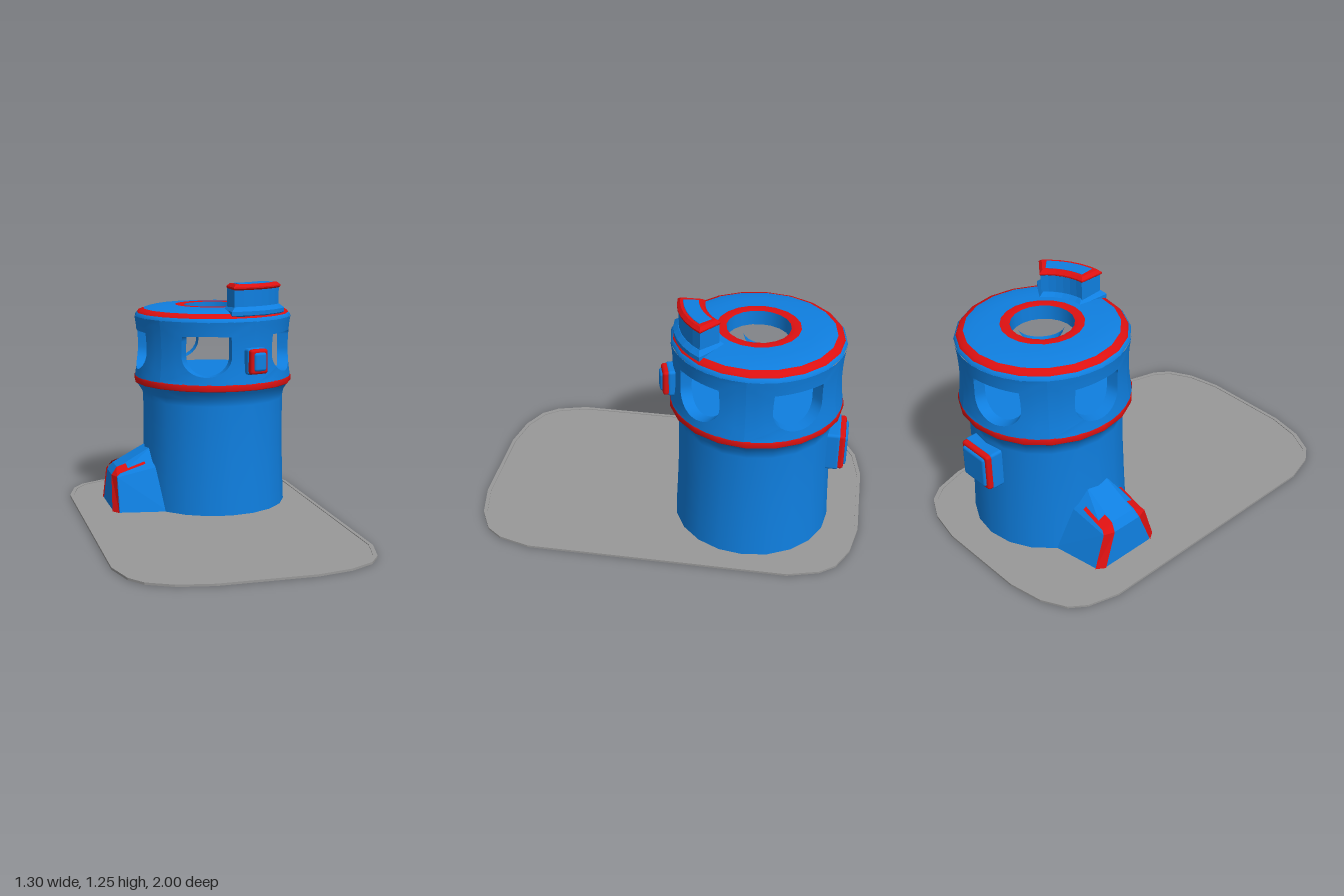
import * as THREE from 'three';
import { RoundedBoxGeometry } from 'three/addons/geometries/RoundedBoxGeometry.js';
import { ConvexGeometry } from 'three/addons/geometries/ConvexGeometry.js';

const D = Math.PI / 180;
const material = (color, extra = {}) => new THREE.MeshStandardMaterial({ color, ...extra });
const blue = material(0x0f7fe0), red = material(0xdd1111), grey = material(0x999999);
const blueFlat = material(0x0f7fe0, { flatShading: true });
const redThin = material(0xdd1111, { side: THREE.DoubleSide, flatShading: true });

function add(parent, name, geometry, mat) {
  const mesh = new THREE.Mesh(geometry, mat);
  mesh.name = name;
  parent.add(mesh);
  return mesh;
}

// Profile of [radius, height] pairs turned around the tower axis
const lathe = (pts) => new THREE.LatheGeometry(pts.map(([r, y]) => new THREE.Vector2(r, y)), 20);

// Surface through rows of points that all have the same length
function grid(rows) {
  const n = rows[0].length, index = [];
  for (let j = 0; j < rows.length - 1; j++) {
    for (let i = 0; i < n - 1; i++) {
      const a = j * n + i, d = a + n;
      index.push(a, a + 1, d + 1, a, d + 1, d);
    }
  }
  const g = new THREE.BufferGeometry();
  g.setAttribute('position', new THREE.Float32BufferAttribute(rows.flat(2), 3));
  g.setIndex(index);
  g.computeVertexNormals();
  return g;
}

// Point on the tower at azimuth (0 = front, + to the left side of the model)
const polar = (az, y, r) => [r * Math.sin(az * D), y, r * Math.cos(az * D)];
const wallRadius = (y) => 0.418 + 0.014 * Math.min(1, Math.pow((y - 0.885) / 0.165, 2));

// One fifth of the gallery wall: a panel with a U-shaped window, and its jambs
function windowPanel(parent, az) {
  const n = 8, square = [];
  for (const [x, y, dx, dy] of [[-1, -1, 1, 0], [1, -1, 0, 1], [1, 1, -1, 0], [-1, 1, 0, -1]]) {
    for (let i = 0; i < n; i++) square.push([x + dx * 2 * i / n, y + dy * 2 * i / n]);
  }
  square.push(square[0]);
  const border = square.map(([s, t]) => [az + 36 * s, 0.885 + 0.165 * t]);
  const hole = square.map(([s, t]) => {
    const k = t < 0 ? 1 : 0.12;
    const u = s * Math.sqrt(1 - k * t * t / 2), v = t * Math.sqrt(1 - k * s * s / 2);
    return [az + 18.5 * u, 0.868 + 0.107 * v];
  });
  const rows = [0, 0.35, 0.7, 1].map((f) => border.map(([a, y], i) => {
    const yy = y + (hole[i][1] - y) * f;
    return polar(a + (hole[i][0] - a) * f, yy, wallRadius(yy));
  }));
  add(parent, 'galleryWall', grid(rows), blue);
  const jamb = [0, 0.06].map((depth) => hole.map(([a, y]) => polar(a, y, wallRadius(y) - depth)));
  add(parent, 'windowJamb', grid(jamb), blue);
}

// Box with a red frame and a blue face, set on the wall
function wallBox(parent, name, az, y, w, h, rFrom, rTo) {
  const g = new THREE.Group();
  g.name = name;
  g.rotation.y = az * D;
  const layer = (part, mat, ww, hh, from, to) => {
    add(g, part, new RoundedBoxGeometry(ww, hh, to - from, 2, 0.015), mat).position.set(0, y, (from + to) / 2);
  };
  layer('boxBase', blue, w, h, rFrom - 0.06, rTo - 0.035);
  layer('boxFrame', red, w - 0.008, h - 0.008, rFrom - 0.04, rTo - 0.012);
  layer('boxFace', blue, w - 0.04, h - 0.04, rFrom - 0.04, rTo);
  parent.add(g);
}

// Upright slab over a ring sector, with chamfered edges
function sector(r0, r1, a0, a1, y0, y1, bevel) {
  const pts = [], n = 6;
  for (let i = 0; i <= n; i++) pts.push([r1, a0 + (a1 - a0) * i / n]);
  for (let i = n; i >= 0; i--) pts.push([r0, a0 + (a1 - a0) * i / n]);
  const shape = new THREE.Shape(pts.map(([r, a]) => new THREE.Vector2(r * Math.sin(a * D), -r * Math.cos(a * D))));
  const g = new THREE.ExtrudeGeometry(shape, {
    depth: y1 - y0 - 2 * bevel, bevelEnabled: true, bevelSize: bevel, bevelThickness: bevel,
    bevelOffset: -bevel, bevelSegments: 1,
  });
  return g.rotateX(-Math.PI / 2).translate(0, y0 + bevel, 0);
}

// Buttress with sloping top and red chamfered edges, in tower coordinates
function buttress(parent) {
  const outer = [[-0.57, 0, 0.195], [-0.57, 0.19, 0.135], [-0.55, 0.205, 0.125], [-0.41, 0.25, 0.125]];
  const inner = [[-0.6, 0, 0.15], [-0.59, 0.19, 0.08], [-0.56, 0.23, 0.07], [-0.41, 0.28, 0.07]];
  const g = new THREE.Group();
  g.name = 'buttress';
  const pts = [];
  for (const side of [1, -1]) {
    for (const [x, y, z] of [...outer, ...inner, [-0.3, 0, 0.24], [-0.3, 0.25, 0.15], [-0.36, 0.34, 0.06]]) {
      pts.push(new THREE.Vector3(x, y, z * side));
    }
    const lift = (p) => p.map(([x, y, z]) => [x - 0.005, y + 0.005, (z + 0.004) * side]);
    add(g, 'buttressEdge', grid([lift(outer), lift(inner)]), redThin);
  }
  add(g, 'buttressBody', new ConvexGeometry(pts), blueFlat);
  parent.add(g);
}

// Thin base plate with faceted round corners and a slight rim
function basePlate(parent) {
  const corner = [[0.65, 0.66], [0.605, 0.82], [0.545, 0.9], [0.42, 0.965], [0.24, 1]];
  const back = [...corner].reverse();
  const outline = [
    ...corner, ...back.map(([x, z]) => [-x, z]),
    ...corner.map(([x, z]) => [-x, -z]), ...back.map(([x, z]) => [x, -z]),
  ];
  const vectors = (k) => outline.map(([x, z]) => new THREE.Vector2(x * (1 - k / 0.65), z * (1 - k)));
  const slab = (shape, depth) => new THREE.ExtrudeGeometry(shape, { depth, bevelEnabled: false }).rotateX(-Math.PI / 2);
  add(parent, 'basePlate', slab(new THREE.Shape(vectors(0)), 0.007), grey);
  const rim = new THREE.Shape(vectors(0));
  rim.holes.push(new THREE.Path(vectors(0.018)));
  add(parent, 'baseRim', slab(rim, 0.011), grey);
}

export function createModel() {
  const model = new THREE.Group();
  model.name = 'towerOnPlate';
  basePlate(model);

  const tower = new THREE.Group();
  tower.name = 'tower';
  tower.position.set(0.13, 0, -0.43);
  model.add(tower);

  // Shaft, gallery band and floor
  add(tower, 'shaft', lathe([[0.402, 0.002], [0.396, 0.15], [0.39, 0.35], [0.39, 0.6], [0.396, 0.635], [0.418, 0.67], [0.432, 0.69]]), blue);
  add(tower, 'galleryBand', lathe([[0.432, 0.685], [0.437, 0.69], [0.437, 0.716], [0.432, 0.722]]), red);
  add(tower, 'galleryFloor', lathe([[0.4, 0.74], [0.2, 0.74], [0, 0.74]]), blue);
  for (let i = 0; i < 5; i++) windowPanel(tower, -19.5 + 72 * i);

  // Roof with its two red rings, central opening and ceiling
  add(tower, 'roofShoulder', lathe([[0.432, 1.048], [0.428, 1.06], [0.42, 1.068]]), blue);
  add(tower, 'roofRing', lathe([[0.42, 1.066], [0.41, 1.08], [0.383, 1.09]]), red);
  add(tower, 'roof', lathe([[0.384, 1.089], [0.34, 1.1], [0.27, 1.105], [0.205, 1.108]]), blue);
  add(tower, 'openingRing', lathe([[0.207, 1.108], [0.18, 1.11], [0.158, 1.105]]), red);
  add(tower, 'openingWall', lathe([[0.158, 1.106], [0.158, 1.03]]), blue);
  add(tower, 'ceiling', lathe([[0.158, 1.03], [0.27, 1.02], [0.41, 0.985]]), blue);

  // Raised hatch on the roof
  add(tower, 'hatchFoot', sector(0.24, 0.415, -1, 54, 1.06, 1.125, 0.022), blueFlat);
  add(tower, 'hatchBody', sector(0.265, 0.39, 2, 51, 1.08, 1.228, 0.004), blue);
  add(tower, 'hatchFrame', sector(0.262, 0.398, 1, 52, 1.205, 1.242, 0.015), red);
  add(tower, 'hatchTop', sector(0.292, 0.368, 7, 46, 1.2, 1.245, 0.002), blue);

  wallBox(tower, 'frontBox', 16.5, 0.842, 0.115, 0.14, 0.43, 0.487);
  wallBox(tower, 'backBox', 180, 0.475, 0.21, 0.21, 0.4, 0.475);
  buttress(tower);
  return model;
}
